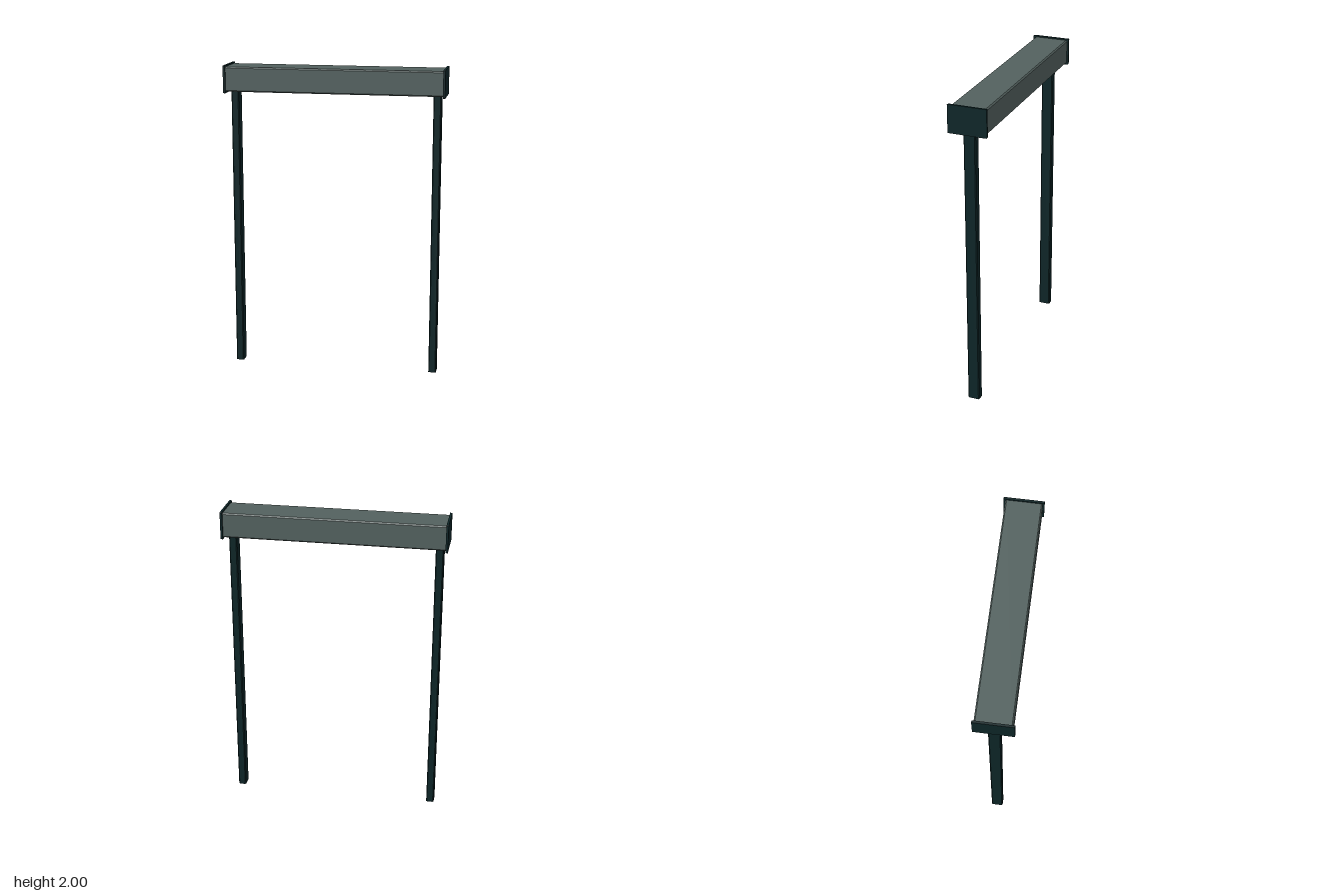
import * as THREE from 'three';

// Rectangle with small chamfered corners, extruded along z and centred
function chamferedBar(width, height, length, c) {
  const w = width / 2, h = height / 2;
  const shape = new THREE.Shape([
    [-w + c, -h], [w - c, -h], [w, -h + c], [w, h - c],
    [w - c, h], [-w + c, h], [-w, h - c], [-w, -h + c],
  ].map(([x, y]) => new THREE.Vector2(x, y)));
  const geometry = new THREE.ExtrudeGeometry(shape, { depth: length, bevelEnabled: false });
  return geometry.translate(0, 0, -length / 2);
}

export function createModel() {
  const model = new THREE.Group();
  model.name = 'postAndBeamFrame';

  const beamGrey = new THREE.MeshStandardMaterial({ color: 0x53615f });
  beamGrey.name = 'beam grey';
  const darkGreen = new THREE.MeshStandardMaterial({ color: 0x0d2527 });
  darkGreen.name = 'dark green';

  const add = (name, geometry, material, x, y) => {
    const mesh = new THREE.Mesh(geometry, material);
    mesh.name = name;
    mesh.position.set(x, y, 0);
    model.add(mesh);
  };

  // Horizontal beam
  const beam = chamferedBar(0.224, 0.158, 1.39, 0.008).rotateY(Math.PI / 2);
  add('beam', beam, beamGrey, 0, 1.912);

  // Upright posts and the plates closing the beam ends
  const post = chamferedBar(0.05, 0.076, 1.835, 0.006).rotateX(-Math.PI / 2);
  const plate = chamferedBar(0.246, 0.176, 0.014, 0.003).rotateY(Math.PI / 2);
  for (const [side, s] of [['left', 1], ['right', -1]]) {
    add(side + 'Post', post, darkGreen, s * 0.652, 0.9175);
    add(side + 'EndPlate', plate, darkGreen, s * 0.7, 1.912);
  }

  return model;
}
